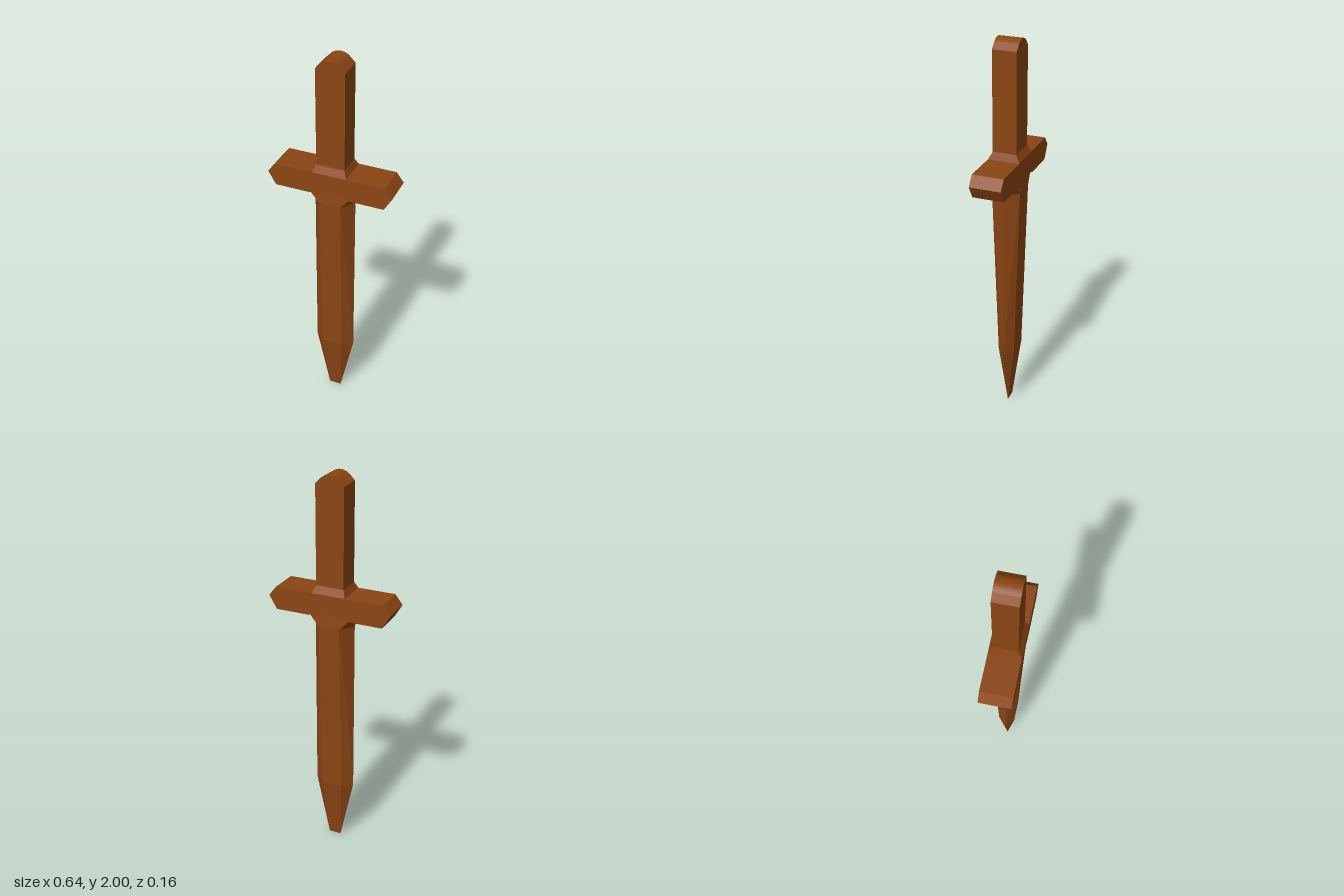
import * as THREE from 'three';

// Skin a stack of equal-length rings (bottom to top), flat shaded.
function loft(rings) {
  const pos = [];
  const n = rings[0].length;
  for (let r = 0; r < rings.length - 1; r++) {
    const lo = rings[r], hi = rings[r + 1];
    for (let i = 0; i < n; i++) {
      const j = (i + 1) % n;
      // choose the diagonal so the shoulders mirror left to right
      const tris = i % 4 === 3
        ? [lo[i], hi[i], lo[j], lo[j], hi[i], hi[j]]
        : [lo[i], hi[j], lo[j], lo[i], hi[i], hi[j]];
      tris.forEach((p) => pos.push(...p));
    }
  }
  const geo = new THREE.BufferGeometry();
  geo.setAttribute('position', new THREE.Float32BufferAttribute(pos, 3));
  geo.computeVertexNormals();
  return geo;
}

// Eight-point blade section: edge half-width w, flat half-width a, half-depth d.
const bladeRing = (y, w, a, d, yMid = y) => [
  [w, y, 0], [a, y, d], [0, yMid, d], [-a, y, d],
  [-w, y, 0], [-a, y, -d], [0, yMid, -d], [a, y, -d],
];

const rectRing = (y, w, d) => [[w, y, -d], [w, y, d], [-w, y, d], [-w, y, -d]];

// Extrude a front outline, centred on z = 0.
function slab(shape, depth) {
  const geo = new THREE.ExtrudeGeometry(shape, { depth, bevelEnabled: false, curveSegments: 8 });
  return geo.translate(0, 0, -depth / 2);
}

export function createModel() {
  const wood = new THREE.MeshStandardMaterial({ color: 0x8b4513, flatShading: true });
  wood.name = 'brownWood';
  const group = new THREE.Group();
  group.name = 'woodenDagger';
  const add = (name, geo) => {
    const mesh = new THREE.Mesh(geo, wood);
    mesh.name = name;
    group.add(mesh);
  };

  // Blade: chisel tip, tapering body and flared shoulder
  add('blade', loft([
    bladeRing(0, 0.032, 0.025, 0),
    bladeRing(0.34, 0.105, 0.055, 0.043),
    bladeRing(1.255, 0.105, 0.055, 0.073),
    bladeRing(1.308, 0.105, 0.105, 0.066, 1.335),
  ]));

  // Crossguard with pointed ends and a shallow arch over the blade
  const guard = new THREE.Shape([
    [0.318, 1.375], [0.28, 1.424], [-0.28, 1.424], [-0.318, 1.375],
    [-0.278, 1.308], [-0.105, 1.308], [0, 1.335], [0.105, 1.308], [0.278, 1.308],
  ].map(([x, y]) => new THREE.Vector2(x, y)));
  add('crossguard', slab(guard, 0.158));

  // Sloped collar between guard and grip
  add('collar', loft([rectRing(1.424, 0.087, 0.079), rectRing(1.46, 0.072, 0.06)]));

  // Grip with a rounded top
  const grip = new THREE.Shape();
  grip.moveTo(-0.072, 1.43);
  grip.lineTo(0.072, 1.43);
  grip.lineTo(0.072, 1.955);
  grip.lineTo(0.042, 1.985);
  grip.quadraticCurveTo(0.022, 2, 0, 2);
  grip.quadraticCurveTo(-0.022, 2, -0.042, 1.985);
  grip.lineTo(-0.072, 1.955);
  add('grip', slab(grip, 0.12));

  return group;
}
